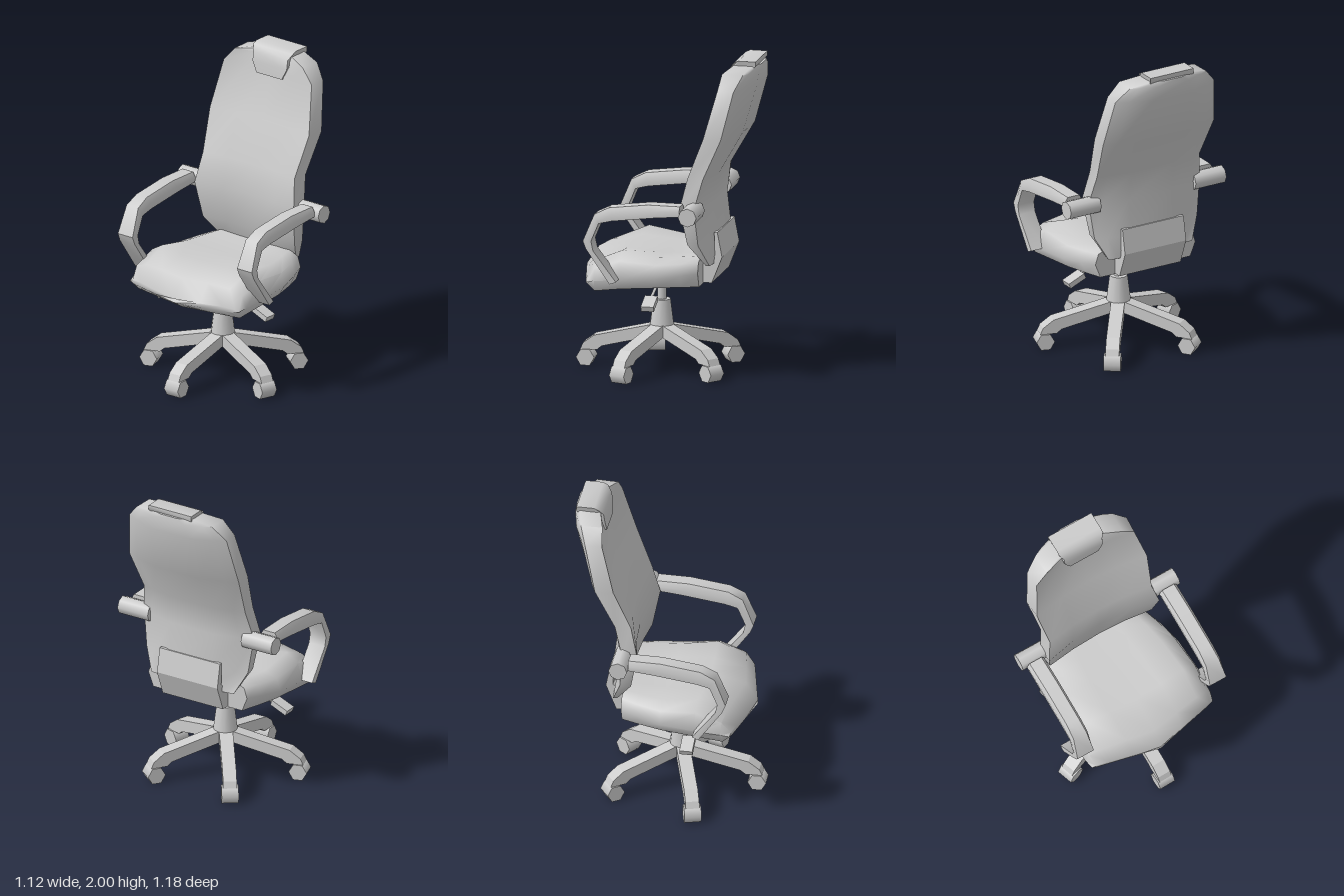
import * as THREE from 'three';
import { toCreasedNormals } from 'three/addons/utils/BufferGeometryUtils.js';

const grey = new THREE.MeshStandardMaterial({ color: 0xcccccc });

function part(parent, name, geometry, x = 0, y = 0, z = 0) {
  const mesh = new THREE.Mesh(geometry, grey);
  mesh.name = name;
  mesh.position.set(x, y, z);
  parent.add(mesh);
  return mesh;
}

// Skin closed cross-sections (lists of [x, y, z]) with laddered caps; faces always point outward.
function loft(sections, crease) {
  const n = sections[0].length, last = sections.length - 1;
  const pts = sections.flat().map(p => new THREE.Vector3(...p));
  const tris = [];
  for (let i = 0; i < last; i++) {
    for (let j = 0; j < n; j++) {
      const a = i * n + j, b = i * n + (j + 1) % n;
      tris.push([a, b, b + n], [a, b + n, a + n]);
    }
  }
  for (let j = 0; j < n / 2 - 1; j++) {
    const a = j, b = j + 1, c = n - 2 - j, d = n - 1 - j, end = last * n;
    tris.push([d, c, a], [end + a, end + c, end + d]);
    if (b !== c) tris.push([c, b, a], [end + a, end + b, end + c]);
  }
  let volume = 0;
  const cross = new THREE.Vector3();
  for (const [a, b, c] of tris) volume += pts[a].dot(cross.crossVectors(pts[b], pts[c]));
  if (volume < 0) tris.forEach(t => t.reverse());
  const g = new THREE.BufferGeometry();
  g.setAttribute('position', new THREE.Float32BufferAttribute(pts.flatMap(p => p.toArray()), 3));
  g.setIndex(tris.flat());
  return toCreasedNormals(g, crease);
}

// Extrude a side profile of [z, y] points to a width centred on x = 0.
function sideProfile(points, width) {
  const shape = new THREE.Shape(points.map(p => new THREE.Vector2(...p)));
  return new THREE.ExtrudeGeometry(shape, { depth: width, bevelEnabled: false })
    .translate(0, 0, -width / 2).rotateY(-Math.PI / 2);
}

function backrest() {
  // y, half width, edge front z, edge rear z, centre front z, centre rear z
  const rows = [
    [0.73, 0.30, -0.29, -0.315, -0.28, -0.33],
    [0.87, 0.37, -0.19, -0.26, -0.22, -0.345],
    [1.10, 0.40, -0.145, -0.24, -0.20, -0.315],
    [1.29, 0.37, -0.19, -0.29, -0.225, -0.34],
    [1.55, 0.40, -0.295, -0.41, -0.335, -0.49],
    [1.85, 0.355, -0.375, -0.48, -0.415, -0.575],
    [1.94, 0.275, -0.385, -0.52, -0.43, -0.585],
    [1.97, 0.15, -0.43, -0.55, -0.44, -0.585],
  ];
  return loft(rows.map(([y, w, ef, er, cf, cr]) => {
    const front = [-0.98, -0.5, 0, 0.5, 0.98].map(t => [t * w, y, cf + (ef - cf) * t * t]);
    const rear = [1, 0.8, 0.4, -0.4, -0.8, -1].map(t => {
      const k = Math.max(0, (Math.abs(t) - 0.4) / 0.6);
      return [t * w, y, cr + (er - cr) * k ** 1.3];
    });
    return [...front, ...rear];
  }), 0.9);
}

function seat() {
  // centre z, backward bow at the sides, half width, underside, side, shoulder and centre heights
  const rows = [
    [0.535, 0.10, 0.43, 0.605, 0.615, 0.635, 0.63],
    [0.46, 0.08, 0.445, 0.557, 0.63, 0.735, 0.745],
    [0.24, 0.02, 0.455, 0.58, 0.645, 0.81, 0.79],
    [0, 0, 0.44, 0.595, 0.66, 0.775, 0.77],
    [-0.15, 0, 0.40, 0.60, 0.68, 0.78, 0.775],
    [-0.255, 0, 0.36, 0.60, 0.69, 0.785, 0.78],
  ];
  return loft(rows.map(([z, bow, w, yb, ym, ys, yc]) => {
    const yo = ys - 0.3 * (ys - ym);
    const bottom = [-0.9, -0.75, -0.4, 0, 0.4, 0.75, 0.9].map(t => [t, yb]);
    const top = [[0.94, yo], [0.75, ys], [0.4, yc], [0, yc], [-0.4, yc], [-0.75, ys], [-0.94, yo]];
    return [[-1, ym], ...bottom, [1, ym], ...top]
      .map(([t, y]) => [t * w, y, z - bow * Math.abs(t)]);
  }), 0.95);
}

// Curved arm band: pairs of outer and inner rim points, with a chamfered outer face.
function armBand() {
  // outer z, outer y, inner z, inner y, outer half width
  const rows = [
    [-0.18, 1.147, -0.18, 1.085, 0.042],
    [0.02, 1.147, -0.02, 1.07, 0.042],
    [0.27, 1.115, 0.25, 1.035, 0.042],
    [0.36, 1.07, 0.33, 1.015, 0.046],
    [0.43, 0.90, 0.378, 0.90, 0.058],
    [0.41, 0.85, 0.365, 0.84, 0.059],
    [0.26, 0.635, 0.22, 0.65, 0.059],
  ];
  return loft(rows.map(([oz, oy, iz, iy, w]) => {
    const mz = (oz + iz) / 2, my = (oy + iy) / 2;
    return [[-w, oy, oz], [w, oy, oz], [0.06, my, mz],
      [0.058, iy, iz], [-0.058, iy, iz], [-0.06, my, mz]];
  }), 0.75);
}

export function createModel() {
  const chair = new THREE.Group();
  chair.name = 'officeChair';
  part(chair, 'backrest', backrest());
  part(chair, 'seat', seat());

  // Head pillow folded over the top of the backrest: half width, y, z
  const pillow = [[0.155, 1.97, -0.57], [0.155, 2, -0.57], [0.155, 2, -0.46],
    [0.155, 1.985, -0.43], [0.135, 1.95, -0.405], [0.135, 1.89, -0.395],
    [0.10, 1.82, -0.39], [0.10, 1.82, -0.43]];
  part(chair, 'headPillow', loft([-1, 1].map(s => pillow.map(([x, y, z]) => [s * x, y, z])), 0.8));

  // Bracket joining seat and backrest
  part(chair, 'backBracket', sideProfile([[-0.345, 0.925], [-0.375, 0.77], [-0.31, 0.605],
    [-0.235, 0.605], [-0.25, 0.72], [-0.33, 0.78], [-0.325, 0.925]], 0.44));

  // Armrests and their pivots
  for (const [side, s] of [['left', 1], ['right', -1]]) {
    part(chair, side + 'Armrest', armBand(), s * 0.472);
    const pivot = new THREE.CylinderGeometry(0.058, 0.058, 0.22, 8).rotateZ(Math.PI / 2);
    part(chair, side + 'ArmPivot', pivot, s * 0.45, 1.09, -0.238);
  }

  // Five-star base with hexagonal casters; the front spoke is turned slightly
  const base = new THREE.Group();
  base.name = 'base';
  base.position.z = 0.06;
  chair.add(base);
  part(base, 'hub', new THREE.CylinderGeometry(0.055, 0.075, 0.16, 12), 0, 0.355);
  part(base, 'gasColumn', new THREE.CylinderGeometry(0.028, 0.028, 0.20, 10), 0, 0.51);
  const legShape = [[0, 0.29], [0.42, 0.19], [0.487, 0.14], [0.505, 0.10],
    [0.40, 0.10], [0.37, 0.125], [0, 0.215]];
  for (let i = 0; i < 5; i++) {
    const spoke = new THREE.Group();
    spoke.name = 'spoke' + (i + 1);
    spoke.rotation.y = i ? i * Math.PI * 2 / 5 : 0.035;
    base.add(spoke);
    part(spoke, 'leg', sideProfile(legShape, 0.085));
    const wheel = new THREE.CylinderGeometry(0.0577, 0.0577, 0.105, 6).rotateZ(Math.PI / 2);
    part(spoke, 'caster', wheel, 0, 0.05, 0.472);
  }

  // Adjustment levers: rod start, rod end, paddle centre, paddle tilt
  const levers = [
    ['left', [0.03, 0.585, 0.06], [0.28, 0.50, 0.06], [0.32, 0.476, 0.06], -0.4],
    ['right', [-0.05, 0.60, 0.05], [-0.30, 0.485, 0.16], [-0.35, 0.475, 0.16], 0.4],
  ];
  for (const [side, a, b, c, tilt] of levers) {
    const path = new THREE.LineCurve3(new THREE.Vector3(...a), new THREE.Vector3(...b));
    part(chair, side + 'LeverRod', new THREE.TubeGeometry(path, 1, 0.01, 6));
    part(chair, side + 'LeverPaddle', new THREE.BoxGeometry(0.12, 0.035, 0.08), ...c).rotation.z = tilt;
  }
  return chair;
}
